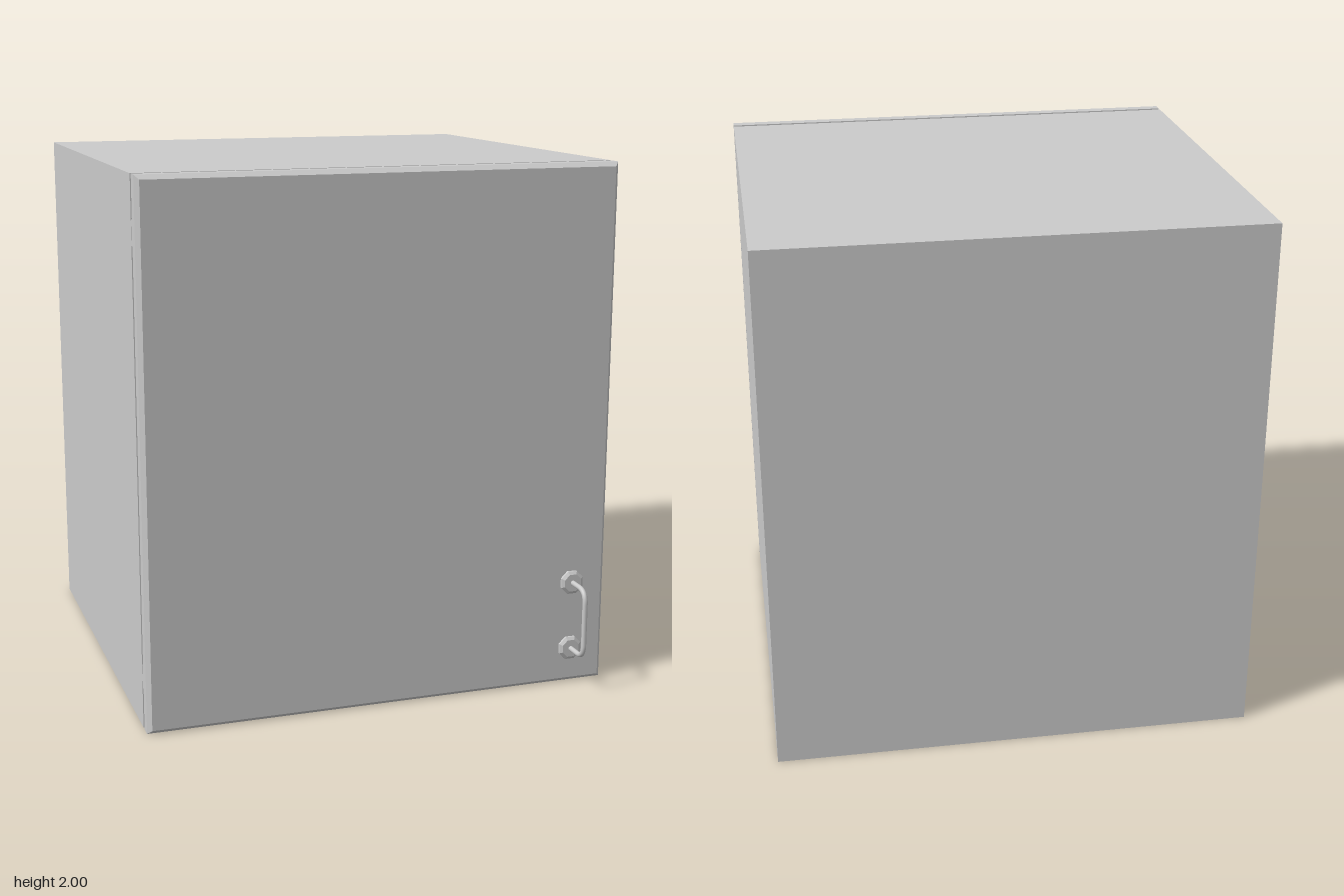
import * as THREE from 'three';

const material = new THREE.MeshStandardMaterial({ color: 0xcccccc });
const flatMaterial = new THREE.MeshStandardMaterial({ color: 0xcccccc, flatShading: true });

const W = 1.8, H = 2, BACK = -0.905, FRONT = 0.695, WALL = 0.06;
const DOOR_BACK = 0.713, DOOR_FRONT = 0.772;

function add(parent, name, geometry, x = 0, y = 0, z = 0, mat = material) {
  const mesh = new THREE.Mesh(geometry, mat);
  mesh.name = name;
  mesh.position.set(x, y, z);
  parent.add(mesh);
  return mesh;
}

// Hollow cabinet: one extruded frame closed by a back panel
function createCabinet() {
  const group = new THREE.Group();
  group.name = 'cabinet';
  const rect = (Type, w, h) => new Type([
    new THREE.Vector2(-w / 2, -h / 2), new THREE.Vector2(w / 2, -h / 2),
    new THREE.Vector2(w / 2, h / 2), new THREE.Vector2(-w / 2, h / 2),
  ]);
  const frame = rect(THREE.Shape, W, H);
  frame.holes.push(rect(THREE.Path, W - 2 * WALL, H - 2 * WALL));
  add(group, 'cabinetFrame', new THREE.ExtrudeGeometry(frame, { depth: FRONT - BACK, bevelEnabled: false }), 0, H / 2, BACK);
  add(group, 'backPanel', new THREE.BoxGeometry(W - 2 * WALL, H - 2 * WALL, WALL), 0, H / 2, BACK + WALL / 2);
  return group;
}

// Door slab with chamfered front edges
function doorGeometry() {
  const depth = DOOR_FRONT - DOOR_BACK, chamfer = 0.018;
  const geo = new THREE.BoxGeometry(W, H, depth, 1, 1, 2);
  const p = geo.attributes.position;
  for (let i = 0; i < p.count; i++) {
    const z = p.getZ(i);
    if (Math.abs(z) < 1e-6) p.setZ(i, depth / 2 - chamfer);
    else if (z > 0) {
      p.setX(i, Math.sign(p.getX(i)) * (W / 2 - 0.016));
      p.setY(i, Math.sign(p.getY(i)) * (H / 2 - 0.016));
    }
  }
  const flat = geo.toNonIndexed();
  flat.computeVertexNormals();
  return flat;
}

// Bow handle: bent bar on two eight-sided roses
function createHandle() {
  const group = new THREE.Group();
  group.name = 'handle';
  const low = 0.14, high = 0.405, out = 0.893, r = 0.05;
  const v = (y, z) => new THREE.Vector3(0, y, z);
  const path = new THREE.CurvePath();
  path.add(new THREE.LineCurve3(v(low, DOOR_FRONT), v(low, out - r)));
  path.add(new THREE.QuadraticBezierCurve3(v(low, out - r), v(low, out), v(low + r, out)));
  path.add(new THREE.LineCurve3(v(low + r, out), v(high - r, out)));
  path.add(new THREE.QuadraticBezierCurve3(v(high - r, out), v(high, out), v(high, out - r)));
  path.add(new THREE.LineCurve3(v(high, out - r), v(high, DOOR_FRONT)));
  add(group, 'handleBar', new THREE.TubeGeometry(path, 60, 0.01, 10));

  const profile = [[0.048, 0], [0.048, 0.008], [0.036, 0.016], [0, 0.016]]
    .map(([x, y]) => new THREE.Vector2(x, y));
  for (const y of [low, high]) {
    const rose = add(group, 'handleRose', new THREE.LatheGeometry(profile, 8, Math.PI / 8), 0, y, DOOR_FRONT, flatMaterial);
    rose.rotation.x = Math.PI / 2;
  }
  group.position.x = 0.76;
  return group;
}

// Hinge: plate behind the door and an arm reaching into the cabinet
function createHinge(y) {
  const group = new THREE.Group();
  group.name = 'hinge';
  add(group, 'hingePlate', new THREE.BoxGeometry(0.137, 0.09, 0.013), -0.8315, 0, 0.7075);
  add(group, 'hingeArm', new THREE.BoxGeometry(0.045, 0.08, 0.15), -0.8175, 0, 0.63);
  group.position.y = y;
  return group;
}

export function createModel() {
  const model = new THREE.Group();
  model.name = 'wallCabinet';
  model.add(createCabinet());
  add(model, 'door', doorGeometry(), 0, H / 2, (DOOR_BACK + DOOR_FRONT) / 2);
  model.add(createHandle());
  for (const y of [0.2, 1.8]) model.add(createHinge(y));
  return model;
}
